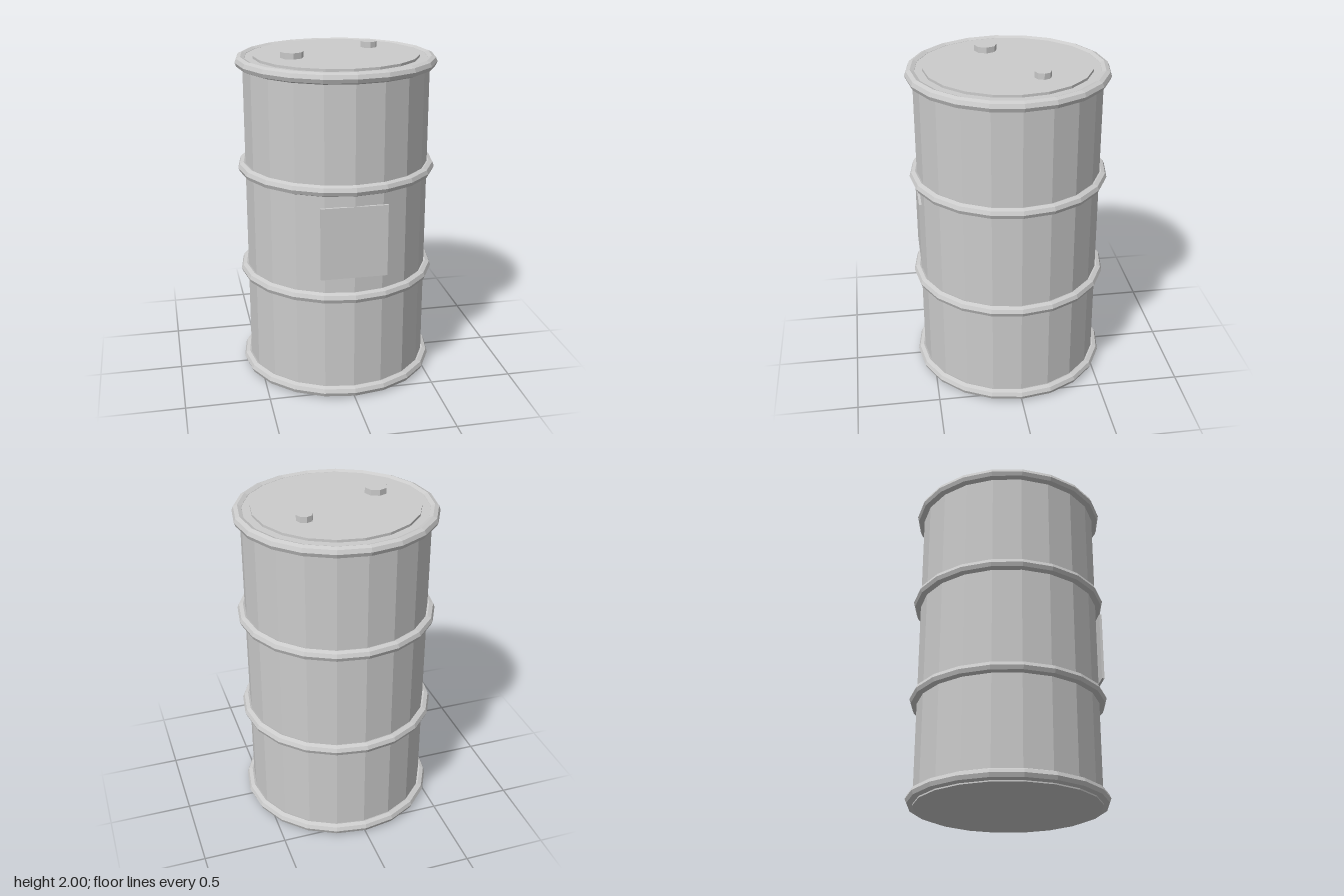
import * as THREE from 'three';

const SIDES = 20;

export function createModel() {
  const group = new THREE.Group();
  const material = new THREE.MeshStandardMaterial({ color: 0xcccccc, flatShading: true });

  const add = (name, geometry, x, y, z) => {
    const mesh = new THREE.Mesh(geometry, material);
    mesh.name = name;
    mesh.position.set(x, y, z);
    group.add(mesh);
  };

  // Upright cylinder between two heights
  const addCylinder = (name, radius, bottom, top, sides, x = 0, z = 0) =>
    add(name, new THREE.CylinderGeometry(radius, radius, top - bottom, sides), x, (bottom + top) / 2, z);

  // Drum shell and raised lid
  addCylinder('body', 0.55, 0, 1.95, SIDES);
  addCylinder('lid', 0.49, 1.94, 1.965, SIDES);

  // Rims at both ends and two rolling hoops between them
  const rings = { bottomRim: 0.037, lowerHoop: 0.648, upperHoop: 1.298, topRim: 1.928 };
  for (const [name, y] of Object.entries(rings)) {
    add(name, new THREE.TorusGeometry(0.561, 0.033, 8, SIDES).rotateX(Math.PI / 2), 0, y, 0);
  }

  // Bung caps on the lid
  addCylinder('largeBung', 0.068, 1.95, 2, 8, -0.275, 0.096);
  addCylinder('smallBung', 0.049, 1.95, 2, 8, 0.235, -0.16);

  // Blank plate on the front
  add('labelPlate', new THREE.BoxGeometry(0.39, 0.43, 0.015), -0.003, 0.985, 0.547);

  return group;
}
